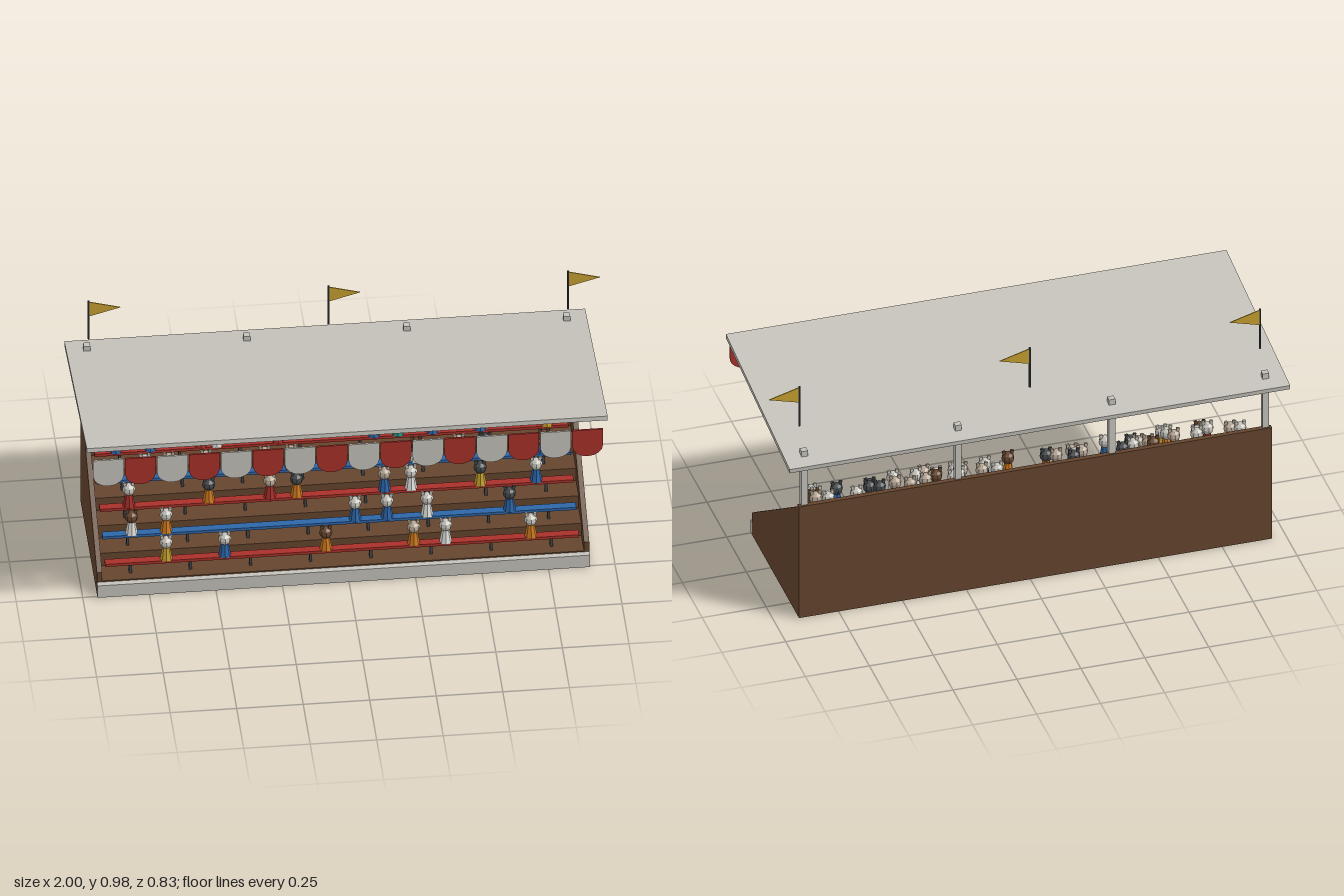
import * as THREE from 'three';

const mat = (name, color, side = THREE.FrontSide) => {
  const m = new THREE.MeshStandardMaterial({ color, side, flatShading: true });
  m.name = name;
  return m;
};

export function createModel() {
  const M = {
    wood: mat('brown wood', 0x65452e),
    grey: mat('pale grey', 0xc4c2ba),
    red: mat('red', 0xa9302a),
    blue: mat('blue', 0x2d66a8),
    dark: mat('dark grey', 0x43474a),
    gold: mat('gold', 0xc69f30),
    orange: mat('orange', 0xcf7a1f),
    teal: mat('teal', 0x2a9482),
    white: mat('white', 0xe4e4e0),
    beige: mat('beige', 0xb5a594),
  };
  const root = new THREE.Group();
  root.name = 'grandstand';

  const add = (name, geo, material, x = 0, y = 0, z = 0, parent = root) => {
    const mesh = new THREE.Mesh(geo, material);
    mesh.name = name;
    mesh.position.set(x, y, z);
    parent.add(mesh);
    return mesh;
  };
  const box = (name, material, w, h, d, x, y, z, parent) =>
    add(name, new THREE.BoxGeometry(w, h, d), material, x, y, z, parent);

  const CX = -0.02, WIDTH = 1.85, ROWS = 6, DEPTH = 0.096, RISE = 0.057;
  const rowZ = (i) => 0.187 - DEPTH * i;
  const rowY = (i) => 0.06 + RISE * i;

  // Sloped side walls, extruded along x
  const profile = new THREE.Shape();
  [[-0.235, 0], [0.36, 0], [0.36, 0.495], [0.34, 0.495], [0.34, 0.485], [-0.235, 0.1]]
    .forEach(([x, y], i) => (i ? profile.lineTo(x, y) : profile.moveTo(x, y)));
  const sideGeo = new THREE.ExtrudeGeometry(profile, { depth: 0.02, bevelEnabled: false });
  sideGeo.rotateY(Math.PI / 2);
  add('rightSideWall', sideGeo, M.wood, CX - WIDTH / 2);
  add('leftSideWall', sideGeo, M.wood, CX + WIDTH / 2 - 0.02);

  // Back wall and front plinth
  box('backWall', M.wood, WIDTH - 0.04, 0.495, 0.02, CX, 0.2475, -0.35);
  box('frontPlinth', M.grey, WIDTH, 0.055, 0.023, CX, 0.0275, 0.2465);

  // Stepped floor, open underneath, with a bench on every step
  const legGeo = new THREE.BoxGeometry(0.01, 0.042, 0.02);
  for (let i = 0; i < ROWS; i++) {
    const row = new THREE.Group();
    row.name = 'row' + (i + 1);
    root.add(row);
    const y = rowY(i), z = rowZ(i), w = WIDTH - 0.04;
    box('tread', M.wood, w, 0.012, DEPTH, CX, y - 0.006, z, row);
    box('riser', M.wood, w, RISE, 0.01, CX, y - RISE / 2 - 0.001, z + DEPTH / 2 - 0.006, row);
    box('bench', i % 2 ? M.blue : M.red, 1.78, 0.012, 0.032, CX, y + 0.046, z, row);
    for (let k = 0; k < 8; k++) add('benchLeg', legGeo, M.dark, -0.815 + 0.226 * k, y + 0.02, z, row);
  }

  // Spectators: body, head and two upright ears
  const bodyGeo = new THREE.CylinderGeometry(0.014, 0.024, 0.056, 8);
  const headGeo = new THREE.SphereGeometry(0.025, 8, 6);
  const earGeo = new THREE.BoxGeometry(0.012, 0.018, 0.008);
  const furs = [M.wood, M.grey, M.dark, M.beige, M.grey, M.beige];
  const shirts = { o: M.orange, y: M.gold, w: M.white, b: M.blue, r: M.red, t: M.teal };
  let seed = 7;
  const next = () => (seed = (seed * 16807) % 2147483647);
  const crowd = [
    'y-.68 b-.46 o-.08 o.25 w.37 o.69',
    'w-.80 o-.67 b.04 b.16 w.31 b.62',
    'r-.80 o-.50 r-.27 o-.17 b.16 w.26 y.52 b.73',
    'w-.73 y-.64 w-.50 w-.28 r-.18 w.29 y.45 o.55 b.77',
    'b-.83 b-.70 r-.51 w-.45 r-.22 b.14 t.23 b.36 b.54 y.79',
    'o-.84 w-.50 t-.38 o-.19 r.11 t.28 w.45 o.66 o.77',
  ];
  crowd.forEach((line, i) => line.split(' ').forEach((entry) => {
    const person = new THREE.Group();
    person.name = 'spectator';
    person.position.set(parseFloat(entry.slice(1)), rowY(i) + 0.052, rowZ(i));
    root.add(person);
    const fur = furs[next() % furs.length];
    add('body', bodyGeo, shirts[entry[0]], 0, 0.026, 0, person);
    add('head', headGeo, fur, 0, 0.074, 0, person);
    for (const s of [-1, 1]) {
      add('ear', earGeo, fur, s * 0.015, 0.097, 0, person).rotation.z = -s * 0.2;
    }
  }));

  // Roof posts
  for (let k = 0; k < 4; k++) {
    box('roofPost', M.grey, 0.025, 0.395, 0.025, -0.923 + 0.601 * k, 0.5375, -0.34);
  }

  // Roof sloping down to the back
  box('roof', M.grey, 1.957, 0.018, 0.816, -0.0215, 0.745, -0.005).rotation.x = -0.123;

  // Scalloped valance in alternating colours
  const scallop = new THREE.Shape();
  scallop.moveTo(-0.058, 0.757);
  scallop.lineTo(-0.058, 0.685);
  for (let k = 1; k < 8; k++) {
    const a = Math.PI * (1 + k / 8);
    scallop.lineTo(0.058 * Math.cos(a), 0.685 + 0.05 * Math.sin(a));
  }
  scallop.lineTo(0.058, 0.685);
  scallop.lineTo(0.058, 0.757);
  const scallopGeo = new THREE.ExtrudeGeometry(scallop, { depth: 0.007, bevelEnabled: false });
  for (let k = 0; k < 16; k++) {
    add('valanceScallop', scallopGeo, k % 2 ? M.red : M.grey, -0.92 + 0.12 * k, 0, 0.408);
  }

  // Pennants on poles
  const pennant = new THREE.Shape();
  pennant.moveTo(0, 0.91);
  pennant.lineTo(0.117, 0.943);
  pennant.lineTo(0, 0.976);
  const pennantGeo = new THREE.ExtrudeGeometry(pennant, { depth: 0.004, bevelEnabled: false });
  const poleGeo = new THREE.CylinderGeometry(0.004, 0.004, 0.177, 6);
  for (const x of [-0.922, -0.021, 0.88]) {
    add('flagPole', poleGeo, M.dark, x, 0.8925, -0.283);
    add('pennant', pennantGeo, M.gold, x + 0.002, 0, -0.285);
  }
  return root;
}
